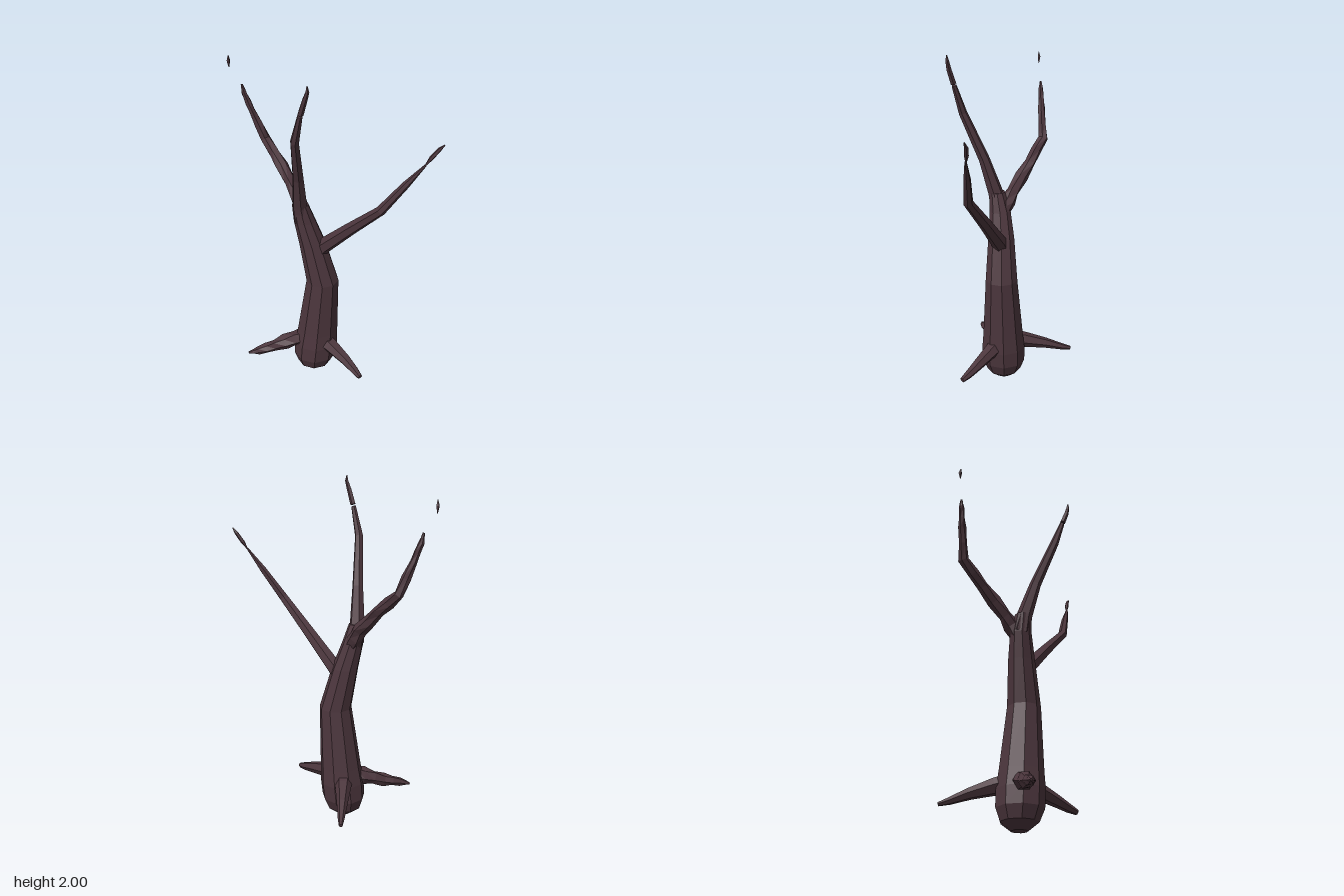
import * as THREE from 'three';

const bark = new THREE.MeshStandardMaterial({ color: 0x4c363d, flatShading: true });
bark.name = 'dark bark';

// Lofts faceted rings along a path; each point is [x, y, z, radius].
// wobble alternately swells and pinches the rings for knobbly wood.
function limb(name, points, sides, ref, wobble = 0, level = false) {
  const centres = points.map(p => new THREE.Vector3(p[0], p[1], p[2]));
  const last = points.length - 1;
  const pos = [], index = [];
  centres.forEach((c, i) => {
    const t = level
      ? new THREE.Vector3(0, 1, 0)
      : centres[Math.min(i + 1, last)].clone().sub(centres[Math.max(i - 1, 0)]).normalize();
    const u = ref.clone().addScaledVector(t, -ref.dot(t)).normalize();
    const v = t.clone().cross(u);
    for (let k = 0; k < sides; k++) {
      const a = (k + 0.5) / sides * Math.PI * 2;
      const r = points[i][3] * (1 + wobble * Math.sin(i * 2.6 + k * 1.9));
      const p = c.clone().addScaledVector(u, Math.cos(a) * r).addScaledVector(v, Math.sin(a) * r);
      pos.push(p.x, p.y, p.z);
      if (i < last) {
        const n = (k + 1) % sides, b = i * sides;
        index.push(b + k, b + n, b + sides + n, b + k, b + sides + n, b + sides + k);
      }
    }
  });
  // End caps
  for (let k = 1; k < sides - 1; k++) {
    const e = last * sides;
    index.push(0, k + 1, k, e, e + k, e + k + 1);
  }
  const g = new THREE.BufferGeometry();
  g.setAttribute('position', new THREE.Float32BufferAttribute(pos, 3));
  g.setIndex(index);
  const flat = g.toNonIndexed();
  flat.computeVertexNormals();
  const mesh = new THREE.Mesh(flat, bark);
  mesh.name = name;
  return mesh;
}

// Inserts in-between points so that wobble has rings to act on
function subdivide(points, n) {
  const out = [];
  for (let i = 0; i < points.length - 1; i++) {
    for (let j = 0; j < n; j++) {
      out.push(points[i].map((a, c) => a + (points[i + 1][c] - a) * j / n));
    }
  }
  out.push(points[points.length - 1]);
  return out;
}

export function createModel() {
  const tree = new THREE.Group();
  tree.name = 'bareTree';
  const Z = new THREE.Vector3(0, 0, 1), Y = new THREE.Vector3(0, 1, 0);

  // Trunk with rounded base, leaning and tapering to the fork
  tree.add(limb('trunk', [
    [-0.10, 0.005, 0.06, 0.045],
    [-0.10, 0.05, 0.06, 0.103],
    [-0.095, 0.12, 0.06, 0.13],
    [-0.085, 0.22, 0.06, 0.132],
    [-0.075, 0.32, 0.06, 0.122],
    [-0.04, 0.69, 0.062, 0.095],
    [-0.095, 0.94, 0.072, 0.077],
    [-0.135, 1.09, 0.085, 0.062],
    [-0.152, 1.2, 0.105, 0.046],
  ], 9, Z, 0, true));

  // Middle branch, with a broken-off tip
  tree.add(limb('middleBranch', [
    [-0.145, 1.1, 0.09, 0.055],
    [-0.15, 1.2, 0.115, 0.044],
    [-0.13, 1.4, 0.175, 0.032],
    [-0.097, 1.67, 0.285, 0.024],
    [-0.05, 1.83, 0.32, 0.014],
  ], 6, Z));
  tree.add(limb('middleBranchTip', [
    [-0.047, 1.84, 0.322, 0.016],
    [-0.018, 1.92, 0.338, 0.014],
    [0, 1.97, 0.342, 0.010],
    [0, 2.0, 0.344, 0.003],
  ], 5, Z));

  // Long branch on the left
  tree.add(limb('leftBranch', [
    [-0.08, 0.87, 0.065, 0.05],
    [-0.02, 0.94, 0.075, 0.046],
    [0.15, 1.115, 0.12, 0.036],
    [0.33, 1.295, 0.17, 0.027],
    [0.45, 1.46, 0.147, 0.02],
    [0.54, 1.58, 0.132, 0.006],
  ], 6, Z));
  tree.add(limb('leftBranchTip', [
    [0.54, 1.58, 0.13, 0.004],
    [0.565, 1.62, 0.122, 0.012],
    [0.60, 1.67, 0.115, 0.011],
    [0.625, 1.70, 0.117, 0.003],
  ], 5, Z));

  // Knobbly branch on the right, with a detached twig end
  tree.add(limb('rightBranch', subdivide([
    [-0.14, 1.09, 0.07, 0.05],
    [-0.20, 1.19, 0.02, 0.04],
    [-0.33, 1.33, -0.06, 0.034],
    [-0.455, 1.45, -0.122, 0.029],
    [-0.52, 1.62, -0.103, 0.02],
    [-0.555, 1.72, -0.093, 0.015],
    [-0.565, 1.77, -0.09, 0.006],
  ], 2), 6, Z, 0.14));
  tree.add(limb('rightBranchTip', [
    [-0.625, 1.868, -0.07, 0.002],
    [-0.626, 1.905, -0.071, 0.01],
    [-0.624, 1.935, -0.069, 0.002],
  ], 4, Z));

  // Roots spreading from the base
  tree.add(limb('rightRoot', subdivide([
    [-0.11, 0.255, 0.08, 0.055],
    [-0.20, 0.235, 0.125, 0.05],
    [-0.31, 0.195, 0.19, 0.037],
    [-0.40, 0.17, 0.245, 0.025],
    [-0.455, 0.155, 0.27, 0.006],
  ], 2), 6, Y, 0.14));
  tree.add(limb('leftRoot', [
    [-0.03, 0.25, 0.09, 0.055],
    [0.04, 0.235, 0.12, 0.046],
    [0.15, 0.205, 0.175, 0.034],
    [0.22, 0.18, 0.215, 0.025],
    [0.265, 0.165, 0.245, 0.016],
  ], 6, Y));
  tree.add(limb('backRoot', [
    [-0.11, 0.255, 0.02, 0.055],
    [-0.135, 0.24, -0.06, 0.048],
    [-0.175, 0.205, -0.19, 0.032],
    [-0.205, 0.17, -0.29, 0.02],
    [-0.222, 0.155, -0.345, 0.011],
  ], 6, Y));

  return tree;
}
